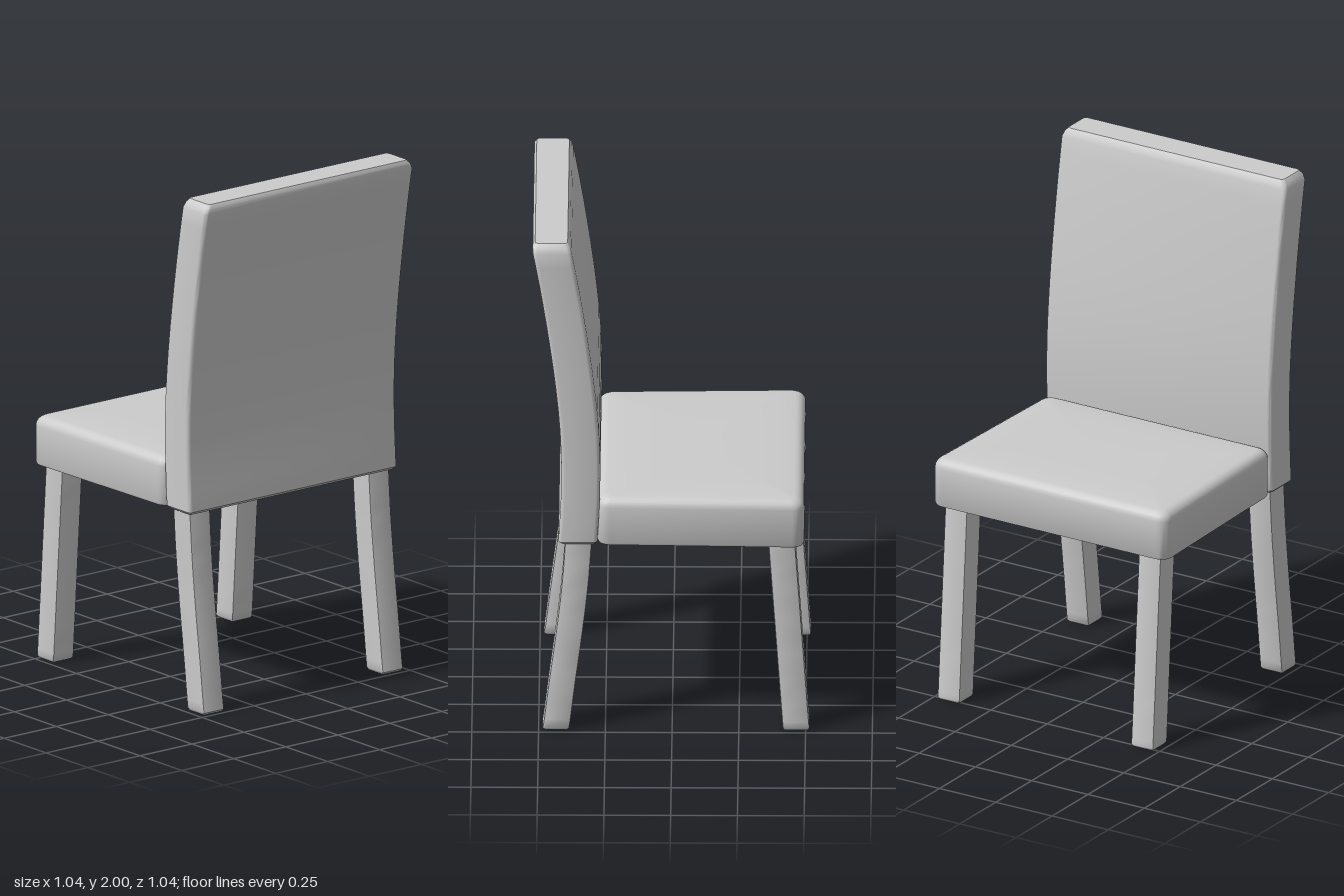
import * as THREE from 'three';
import { toCreasedNormals } from 'three/addons/utils/BufferGeometryUtils.js';

const material = new THREE.MeshStandardMaterial({ color: 0xcccccc });

// Rounded rectangle in x/z with half sizes w, d and corner radius r
function roundedRect(w, d, r, steps) {
  const points = [];
  [[1, 1], [-1, 1], [-1, -1], [1, -1]].forEach(([sx, sz], q) => {
    for (let i = 0; i <= steps; i++) {
      const a = (q + i / steps) * Math.PI / 2;
      points.push([sx * (w - r) + r * Math.cos(a), sz * (d - r) + r * Math.sin(a)]);
    }
  });
  return points;
}

// Capped loft through level sections {y, w, d, z, r}, listed from the bottom up
function loft(name, sections, steps, warp = (p) => p) {
  const n = 4 * (steps + 1);
  const pos = [], index = [];
  for (const s of sections) {
    for (const [x, z] of roundedRect(s.w, s.d, s.r, steps)) pos.push(...warp([x, s.y, z + s.z]));
  }
  const last = sections.length - 1;
  for (let i = 0; i < last; i++) {
    for (let j = 0; j < n; j++) {
      const a = i * n + j, b = i * n + (j + 1) % n;
      index.push(a, a + n, b, b, a + n, b + n);
    }
  }
  const bottom = pos.length / 3, top = bottom + 1;
  for (const s of [sections[0], sections[last]]) pos.push(...warp([0, s.y, s.z]));
  for (let j = 0; j < n; j++) {
    const k = (j + 1) % n;
    index.push(bottom, j, k, top, last * n + k, last * n + j);
  }
  const geo = new THREE.BufferGeometry();
  geo.setAttribute('position', new THREE.Float32BufferAttribute(pos, 3));
  geo.setIndex(index);
  const mesh = new THREE.Mesh(toCreasedNormals(geo, 0.7), material);
  mesh.name = name;
  return mesh;
}

// Smooth line of centre depth z over height y
function centreLine(points) {
  const curve = new THREE.SplineCurve(points.map(([y, z]) => new THREE.Vector2(y, z)));
  return curve.getPoints(14);
}

function createBackrest() {
  const line = centreLine([[0.77, 0.353], [1.0, 0.342], [1.2, 0.345], [1.4, 0.362],
    [1.6, 0.388], [1.8, 0.419], [1.965, 0.449]]);
  const sections = line.map((p) => ({ y: p.x, w: 0.5, d: 0.073, z: p.y, r: 0.015 }));
  // softened lower and upper rims
  sections.unshift({ ...sections[0], w: 0.49, d: 0.065 });
  sections[1].y = 0.78;
  sections.push({ y: 1.985, w: 0.492, d: 0.07, z: 0.452, r: 0.015 });
  sections.push({ y: 2.0, w: 0.478, d: 0.061, z: 0.452, r: 0.015 });
  return loft('backrest', sections, 3);
}

function createSeat() {
  const sections = [];
  const add = (y, inset) => sections.push({
    y, w: 0.512 - inset, d: 0.3875 - inset, z: -0.1075, r: Math.max(0.045 - inset * 0.5, 0.02),
  });
  add(0.768, 0.012);
  add(0.771, 0.004);
  add(0.78, 0);
  // rounded upper rim
  for (let i = 0; i <= 5; i++) {
    const a = i / 5 * Math.PI / 2;
    add(0.922 + 0.038 * Math.sin(a), 0.038 * (1 - Math.cos(a)));
  }
  // shallow cushion crown
  add(0.965, 0.1);
  add(0.968, 0.22);
  // the cushion widens away from the backrest
  return loft('seat', sections, 5, ([x, y, z]) => [x * (1 - 0.021 * (z + 0.1) / 0.39), y, z]);
}

function createLeg(name, side, path) {
  const sections = centreLine(path).map((p) => ({ y: p.x, w: 0.049, d: 0.05, z: p.y, r: 0.006 }));
  sections.unshift({ ...sections[0], w: 0.044, d: 0.045 });
  sections[1].y = 0.008;
  const leg = loft(name, sections, 2);
  leg.position.x = side * 0.43;
  return leg;
}

export function createModel() {
  const chair = new THREE.Group();
  chair.name = 'chair';
  chair.add(createBackrest(), createSeat());
  for (const [label, side] of [['left', 1], ['right', -1]]) {
    chair.add(createLeg(`${label}BackrestLeg`, side,
      [[0, 0.435], [0.2, 0.411], [0.4, 0.385], [0.6, 0.363], [0.78, 0.35]]));
    chair.add(createLeg(`${label}SeatLeg`, side, [[0, -0.465], [0.78, -0.41]]));
  }
  return chair;
}
